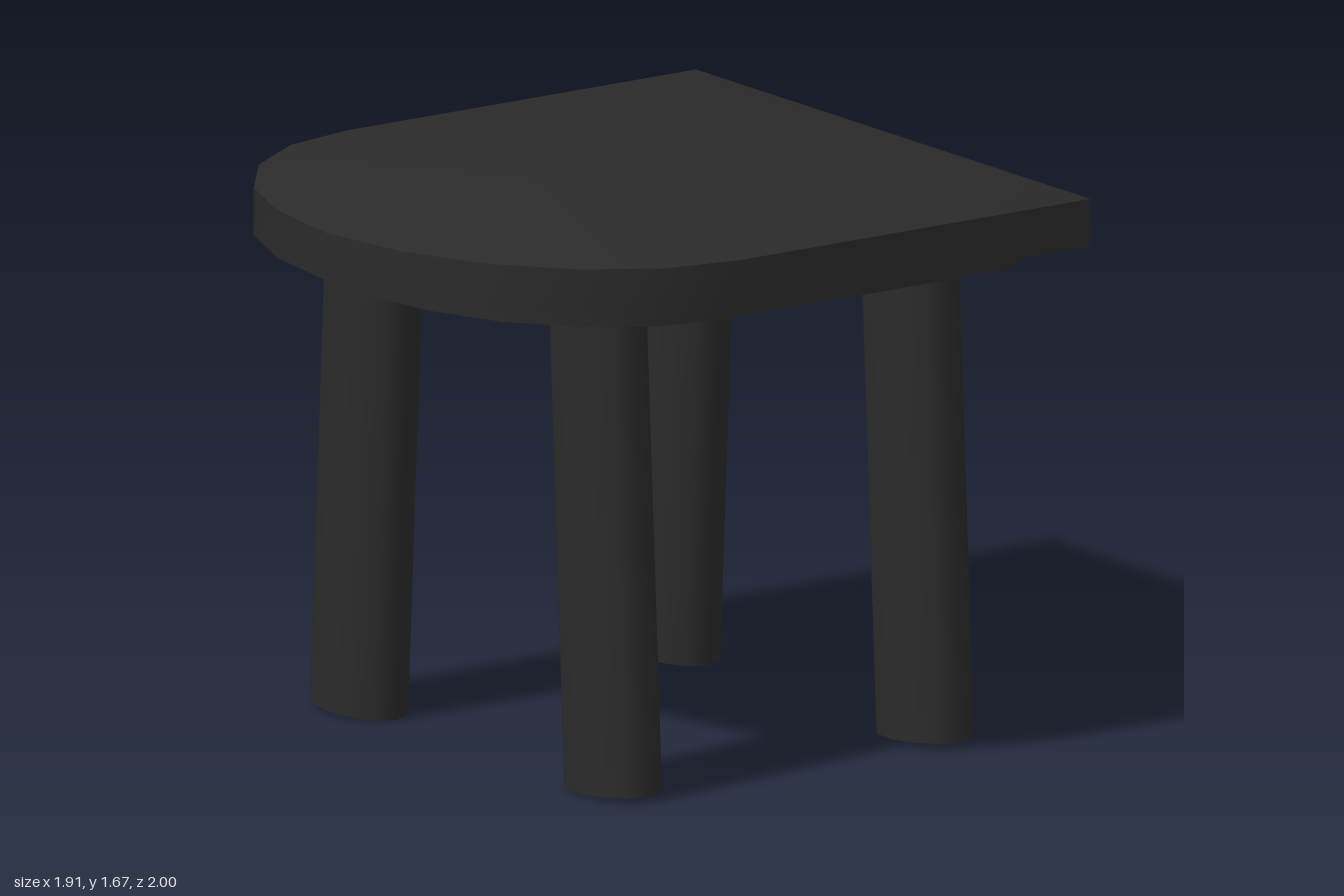
import * as THREE from 'three';
import { toCreasedNormals } from 'three/addons/utils/BufferGeometryUtils.js';

// D-shaped seat outline: straight back, rounded front (x, z)
const half = [[0.955, -1], [0.955, 0], [0.955, 0.235], [0.91, 0.465], [0.775, 0.675], [0.56, 0.85], [0.3, 0.955]];
const outline = [...half, [0, 1], ...half.map(([x, z]) => [-x, z]).reverse()];

// Ring levels, bottom to top: y, x scale, back z, front z
function loft(levels) {
  const rings = levels.map(([y, sx, back, front]) =>
    outline.map(([x, z]) => [x * sx, y, back + (z + 1) / 2 * (front - back)]));
  const n = outline.length;
  const pos = [];
  const tri = (a, b, c) => pos.push(...a, ...b, ...c);
  for (let k = 0; k < rings.length - 1; k++) {
    const lo = rings[k], hi = rings[k + 1];
    for (let i = 0; i < n; i++) {
      const j = (i + 1) % n;
      tri(lo[i], hi[i], lo[j]);
      tri(lo[j], hi[i], hi[j]);
    }
  }
  // Caps
  const bottom = rings[0], top = rings[rings.length - 1];
  for (let i = 0; i < n; i++) {
    const j = (i + 1) % n;
    tri([0, bottom[0][1], 0], bottom[i], bottom[j]);
    tri([0, top[0][1], 0], top[j], top[i]);
  }
  const g = new THREE.BufferGeometry();
  g.setAttribute('position', new THREE.Float32BufferAttribute(pos, 3));
  return toCreasedNormals(g, 0.6);
}

export function createModel() {
  const group = new THREE.Group();
  const black = new THREE.MeshStandardMaterial({ color: 0x2a2a2a });
  black.name = 'charcoal';

  const add = (name, geometry) => {
    const mesh = new THREE.Mesh(geometry, black);
    mesh.name = name;
    group.add(mesh);
    return mesh;
  };

  // Seat: bevelled rim and shallow sloping top
  add('seat', loft([
    [1.437, 0.89, -0.85, 0.89],
    [1.46, 1, -1, 1],
    [1.6, 1, -1, 1],
    [1.67, 0.712, -0.74, 0.89],
  ]));

  // Thin plate under the seat
  add('underPlate', loft([
    [1.4, 0.88, -0.83, 0.87],
    [1.45, 0.88, -0.83, 0.87],
  ]));

  // Oval legs, splayed sideways
  const legLength = 1.41;
  const legGeometry = new THREE.CylinderGeometry(1, 1, legLength, 12);
  legGeometry.scale(0.18, 1, 0.119);
  legGeometry.translate(0, legLength / 2, 0);
  for (const [end, z] of [['front', 0.4375], ['back', -0.665]]) {
    for (const [side, s] of [['Left', 1], ['Right', -1]]) {
      const leg = add(end + side + 'Leg', legGeometry);
      leg.position.set(s * 0.615, 0.01, z);
      leg.rotation.z = s * 0.053;
    }
  }
  return group;
}
